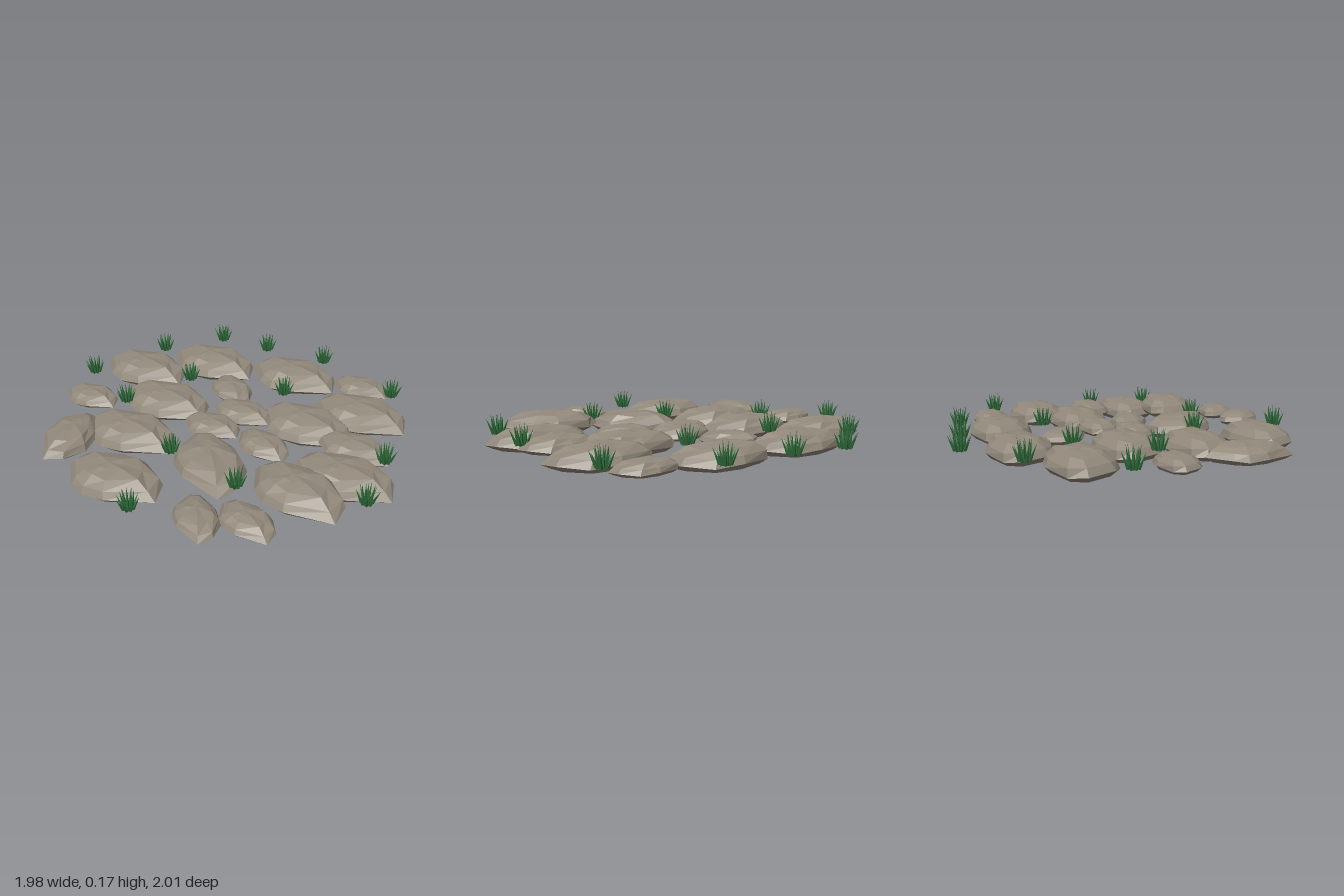
import * as THREE from 'three';

const stoneMat = new THREE.MeshStandardMaterial({ color: 0x91887a, flatShading: true });
const grassMat = new THREE.MeshStandardMaterial({ color: 0x2f6a3a, flatShading: true, side: THREE.DoubleSide });

// Plan outline of a stone (x, z), clockwise seen from above
const outline = [
  [-0.26, -0.07], [-0.19, -0.14], [0.01, -0.175], [0.16, -0.13], [0.26, -0.005],
  [0.258, 0.125], [0.01, 0.175], [-0.115, 0.145], [-0.19, 0.09],
];

// Cross-sections from the underside to the crown: scale, height, x shift, z shift, unevenness
const sections = [
  [0, 0, 0, 0, 0],
  [0.84, 0.004, 0, 0, 0.002],
  [1, 0.03, 0, 0, 0.006],
  [0.9, 0.07, -0.005, -0.006, 0.008],
  [0.64, 0.103, -0.01, -0.015, 0.007],
  [0.3, 0.117, -0.02, -0.02, 0.003],
  [0, 0.12, -0.03, -0.02, 0],
];

function makeStoneGeometry() {
  const n = outline.length;
  const rings = sections.map(([s, y, dx, dz, rough], k) => outline.map(([x, z], j) => {
    const wobble = Math.sin(j * 2.4 + k * 1.7);
    const r = s * (k > 2 ? 1 + 0.05 * wobble : 1);
    return [x * r + dx, y + rough * Math.sin(j * 3.1 + k), z * r + dz];
  }));
  const pos = [];
  for (let k = 0; k < rings.length - 1; k++) {
    for (let j = 0; j < n; j++) {
      const i = (j + 1) % n;
      const [a, b, c, d] = [rings[k][j], rings[k][i], rings[k + 1][i], rings[k + 1][j]];
      if (k > 0) pos.push(...b, ...a, ...d);
      if (k < rings.length - 2) pos.push(...b, ...d, ...c);
    }
  }
  const geo = new THREE.BufferGeometry();
  geo.setAttribute('position', new THREE.Float32BufferAttribute(pos, 3));
  geo.computeVertexNormals();
  return geo;
}

// Each stone: x, z, size, turn in degrees, lift
const largeStones = [
  [-0.62, -0.47, 1, 0, 0], [-0.22, -0.635, 1, 0, 0], [0.3, -0.58, 1, 0, 0],
  [0.73, -0.22, 1, 0, 0.005], [-0.385, -0.13, 1, 0, 0], [0.44, -0.055, 1, -5, 0],
  [-0.49, 0.22, 1, 0, -0.003], [-0.435, 0.63, 1, 0, 0], [0.005, 0.4, 1, -42, 0],
  [0.69, 0.375, 1, 0, 0], [0.485, 0.575, 0.98, -16, 0.037],
];
const smallStones = [
  [-0.79, 0.325, 0.82, -80, 0.01], [-0.825, -0.08, 0.62, 0, 0.02], [0.08, -0.08, 0.65, 0, 0.03],
  [-0.06, 0.07, 0.62, 0, 0.02], [0.25, 0.19, 0.62, -20, 0.02], [0.725, 0.13, 0.75, 0, 0.02],
  [0.715, -0.525, 0.61, 0, 0.02], [-0.035, -0.335, 0.62, -38, 0.02],
  [0.05, 0.84, 0.62, -47, 0.025], [0.285, 0.82, 0.62, -20, 0.03],
];

const tufts = [
  [-0.22, -0.935], [0.09, -0.86], [0.465, -0.775], [-0.56, -0.72], [0.9, -0.45],
  [-0.9, -0.34], [-0.3, -0.385], [0.28, -0.34], [-0.6, -0.06], [0.895, 0.215],
  [-0.21, 0.37], [0.185, 0.58], [0.825, 0.57], [-0.275, 0.86],
];

// Blade: thin tapering spike that leans out along +x from its foot
const bladeGeo = new THREE.ConeGeometry(0.009, 1, 4, 1, true).translate(0, 0.5, 0);

function makeTuft() {
  const tuft = new THREE.Group();
  tuft.name = 'grassTuft';
  for (let i = 0; i < 16; i++) {
    const inner = i % 2;
    const holder = new THREE.Group();
    holder.rotation.y = Math.floor(i / 2) * Math.PI / 4 + inner * 0.4;
    const blade = new THREE.Mesh(bladeGeo, grassMat);
    blade.name = 'grassBlade';
    blade.position.x = inner ? 0.018 : 0.025;
    blade.rotation.z = inner ? -0.15 : -0.42;
    blade.scale.y = (inner ? 0.105 : 0.085) + 0.006 * Math.sin(i * 2.3);
    holder.add(blade);
    tuft.add(holder);
  }
  return tuft;
}

export function createModel() {
  const model = new THREE.Group();
  model.name = 'stonesWithGrass';

  // Stones
  const stoneGeo = makeStoneGeometry();
  const addStones = (list, name) => list.forEach(([x, z, size, turn, lift]) => {
    const stone = new THREE.Mesh(stoneGeo, stoneMat);
    stone.name = name;
    stone.position.set(x, lift, z);
    stone.rotation.y = THREE.MathUtils.degToRad(turn);
    stone.scale.setScalar(size);
    model.add(stone);
  });
  addStones(largeStones, 'largeStone');
  addStones(smallStones, 'smallStone');

  // Grass tufts
  tufts.forEach(([x, z]) => {
    const tuft = makeTuft();
    tuft.position.set(x, 0.062, z);
    model.add(tuft);
  });
  return model;
}
